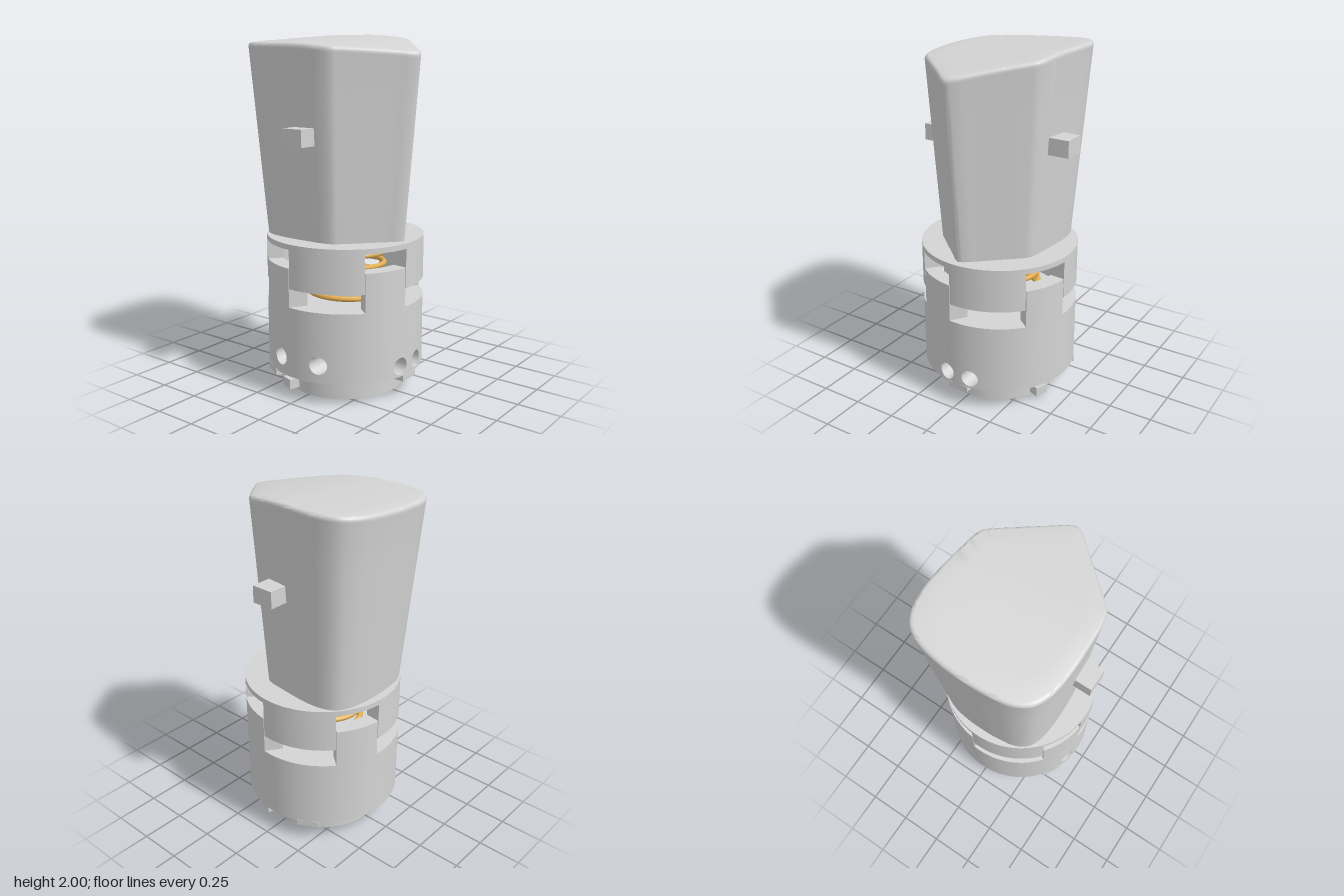
import * as THREE from 'three';
import { toCreasedNormals } from 'three/addons/utils/BufferGeometryUtils.js';

const grey = new THREE.MeshStandardMaterial({ color: 0xd4d4d4, side: THREE.DoubleSide });
grey.name = 'light grey plastic';
const gold = new THREE.MeshStandardMaterial({ color: 0xf0b856 });
gold.name = 'gold metal';
const slate = new THREE.MeshStandardMaterial({ color: 0x4c6076 });
slate.name = 'dark slate';

const R = 0.45; // outer radius of the barrel
const RI = 0.31; // radius of the hollow inside
const rad = THREE.MathUtils.degToRad;

// Angles are in degrees, from the front (+z) towards the model's left (+x).
const polar = (deg, r, y) => new THREE.Vector3(r * Math.sin(rad(deg)), y, r * Math.cos(rad(deg)));

function add(parent, name, geometry, material, x = 0, y = 0, z = 0) {
  const mesh = new THREE.Mesh(geometry, material);
  mesh.name = name;
  mesh.position.set(x, y, z);
  parent.add(mesh);
  return mesh;
}

// Skin over closed rings of equal point count
function loft(rings, crease = 0.6) {
  const n = rings[0].length, index = [];
  for (let i = 0; i < rings.length - 1; i++) {
    for (let j = 0; j < n; j++) {
      const a = i * n + j, b = i * n + (j + 1) % n;
      index.push(a, b, b + n, a, b + n, a + n);
    }
  }
  const g = new THREE.BufferGeometry().setFromPoints(rings.flat());
  g.setIndex(index);
  return toCreasedNormals(g, crease);
}

// Upright block following the barrel wall; skew turns the inner end edge
function sector(a0, a1, rIn, y0, y1, skew = 0) {
  const s = new THREE.Shape();
  s.absarc(0, 0, R, rad(a0 - 90), rad(a1 - 90), false);
  s.absarc(0, 0, rIn, rad(a1 + skew - 90), rad(a0 - 90), true);
  s.closePath();
  const g = new THREE.ExtrudeGeometry(s, { depth: y1 - y0, bevelEnabled: false, curveSegments: 24 });
  g.rotateX(-Math.PI / 2).translate(0, y0, 0);
  return toCreasedNormals(g, 0.5);
}

// Piece of wall, y 0.13 to 0.33, pierced by a straight round bore at (x, y)
function borePatch(x, y, halfWidth) {
  const n = 48, r = 0.05;
  const ring = (radius, blend) => Array.from({ length: n }, (_, i) => {
    const a = i / n * Math.PI * 2, c = Math.cos(a), s = Math.sin(a);
    const m = Math.max(Math.abs(c), Math.abs(s));
    const u = x + THREE.MathUtils.lerp(r * c, halfWidth * c / m, blend);
    const v = THREE.MathUtils.lerp(y + r * s, 0.23 + 0.1 * s / m, blend);
    return new THREE.Vector3(u, v, Math.sqrt(radius * radius - u * u));
  });
  const blends = [1, 0.75, 0.5, 0.25, 0];
  const outer = blends.map(b => ring(R, b)), inner = blends.map(b => ring(RI, b));
  return loft([...outer, ...inner.reverse()]);
}

function createHead() {
  const head = new THREE.Group();
  head.name = 'head';
  // Outline of the wedge as x, z
  const outline = [[-0.01, 0.494], [0.035, 0.472], [0.1, 0.415], [0.22, 0.308], [0.31, 0.228], [0.347, 0.19],
    [0.362, 0.15], [0.375, 0.05], [0.397, -0.2], [0.383, -0.33], [0.343, -0.41], [0.268, -0.458],
    [0.15, -0.485], [0, -0.494], [-0.14, -0.487], [-0.253, -0.467], [-0.333, -0.42], [-0.377, -0.34],
    [-0.398, -0.2], [-0.396, 0], [-0.386, 0.12], [-0.366, 0.18], [-0.33, 0.217], [-0.22, 0.318], [-0.1, 0.427],
    [-0.05, 0.474]];
  const curve = new THREE.CatmullRomCurve3(outline.map(([x, z]) => new THREE.Vector3(x, 0, z)), true);
  const pts = curve.getPoints(156).slice(0, -1);
  const base = 0.885;
  const topY = (x, z) => 1.975 + 0.064 * x
    - 0.168 * Math.max(0, z + 0.1) ** 1.66 - 0.05 * Math.max(0, -z - 0.4);
  const side = [0, 0.25, 0.5, 0.75, 1].map(t => pts.map(p => {
    const k = 0.82 + 0.175 * t;
    return new THREE.Vector3(p.x * k, THREE.MathUtils.lerp(base, topY(p.x, p.z) - 0.03, t), p.z * k);
  }));
  // Rounded rim, then the sloping top
  const rim = [[0.998, 0.02], [0.99, 0.009], [0.975, 0.002], [0.95, 0], [0.75, 0], [0.5, 0], [0.25, 0], [0, 0]];
  const top = rim.map(([k, d]) => pts.map(p => new THREE.Vector3(p.x * k, topY(p.x * k, p.z * k) - d, p.z * k)));
  add(head, 'wedge', loft([...side, ...top], 1.2), grey);
  add(head, 'leftPeg', new THREE.BoxGeometry(0.13, 0.095, 0.13), grey, 0.398, 1.508, 0.003);
  add(head, 'rightPeg', new THREE.BoxGeometry(0.13, 0.095, 0.13), grey, -0.4, 1.462, 0.003);
  return head;
}

function createBarrel() {
  const barrel = new THREE.Group();
  barrel.name = 'barrel';
  // Collar with the underside, and the roof of the hollow
  const turned = (name, profile) => add(barrel, name, toCreasedNormals(
    new THREE.LatheGeometry(profile.map(p => new THREE.Vector2(...p)), 96), 0.5), grey);
  turned('collar', [[RI, 0.13], [RI, 0], [0.34, 0], [0.34, 0.13], [R, 0.13]]);
  turned('hollowRoof', [[0, 0.45], [RI, 0.45], [RI, 0.33]]);

  // Walls: plain upper band, lower band pierced by two pairs of bores
  const wall = (name, r, y, a0, a1) => add(barrel, name,
    new THREE.CylinderGeometry(r, r, 0.2, 96, 1, true, rad(a0), rad(a1 - a0)), grey, 0, y, 0);
  wall('upperWall', R, 0.43, 0, 360);
  const pairs = [{ deg: 0, x: 0.077, y: 0.19 }, { deg: -89, x: 0.13, y: 0.23 }];
  for (const r of [R, RI]) {
    const [front, side] = pairs.map(p => THREE.MathUtils.radToDeg(Math.asin(2 * p.x / r)));
    wall('lowerWall', r, 0.23, -89 + side, -front);
    wall('lowerWall', r, 0.23, front, 271 - side);
  }
  for (const { deg, x, y } of pairs) {
    for (const s of [-1, 1]) {
      add(barrel, 'roundBore', borePatch(s * x, y, x), grey).rotation.y = rad(deg);
    }
  }
  add(barrel, 'springFloor', new THREE.CircleGeometry(R, 96).rotateX(-Math.PI / 2), grey, 0, 0.53, 0);
  add(barrel, 'lowerBoss', new THREE.CylinderGeometry(0.2, 0.2, 0.04, 48), grey, 0, 0.55, 0);

  // Interlocking teeth
  for (let k = 0; k < 4; k++) {
    add(barrel, 'lowerTooth', sector(-39 + 90 * k, -6 + 90 * k, 0.36, 0.53, 0.75, 8), grey);
    add(barrel, 'upperTooth', sector(-5.5 + 90 * k, 50.5 + 90 * k, 0.36, 0.635, 0.856), grey);
  }
  add(barrel, 'cap', new THREE.CylinderGeometry(R, R, 0.03, 96), grey, 0, 0.87, 0);
  add(barrel, 'upperBoss', new THREE.CylinderGeometry(0.2, 0.2, 0.05, 48), grey, 0, 0.83, 0);

  // Key blocks under the rim, and small lugs on the collar
  const block = (name, deg, r, y, w, h, d) => {
    const p = polar(deg, r, y);
    add(barrel, name, new THREE.BoxGeometry(w, h, d), grey, p.x, p.y, p.z).rotation.y = rad(deg);
  };
  for (const deg of [0, 120, 240]) block('keyBlock', deg, 0.4, 0.116, 0.125, 0.036, 0.1);
  for (const deg of [70, 250]) block('lug', deg, 0.358, 0.046, 0.075, 0.055, 0.08);
  return barrel;
}

// Coil with wide turns above and tighter turns at the foot
function createSpring() {
  const points = [];
  for (let deg = -345; deg <= 1440; deg += 15) {
    const t = deg / 360;
    points.push(polar(deg, 0.225, 0.783 - 0.07 * Math.min(t, 2.25) - 0.05 * Math.max(0, t - 2.25)));
  }
  return new THREE.TubeGeometry(new THREE.CatmullRomCurve3(points), 360, 0.015, 8);
}

export function createModel() {
  const model = new THREE.Group();
  model.name = 'springJointConnector';
  model.add(createHead(), createBarrel());
  add(model, 'spring', createSpring(), gold);

  // Contact board and pins inside the collar
  add(model, 'contactBoard', new THREE.BoxGeometry(0.42, 0.03, 0.42), slate, 0, 0.26, 0);
  for (const x of [-0.173, 0.173]) {
    for (const z of [-0.173, 0.173]) {
      add(model, 'contactPin', new THREE.BoxGeometry(0.055, 0.25, 0.055), gold, x, 0.125, z);
    }
  }
  return model;
}
